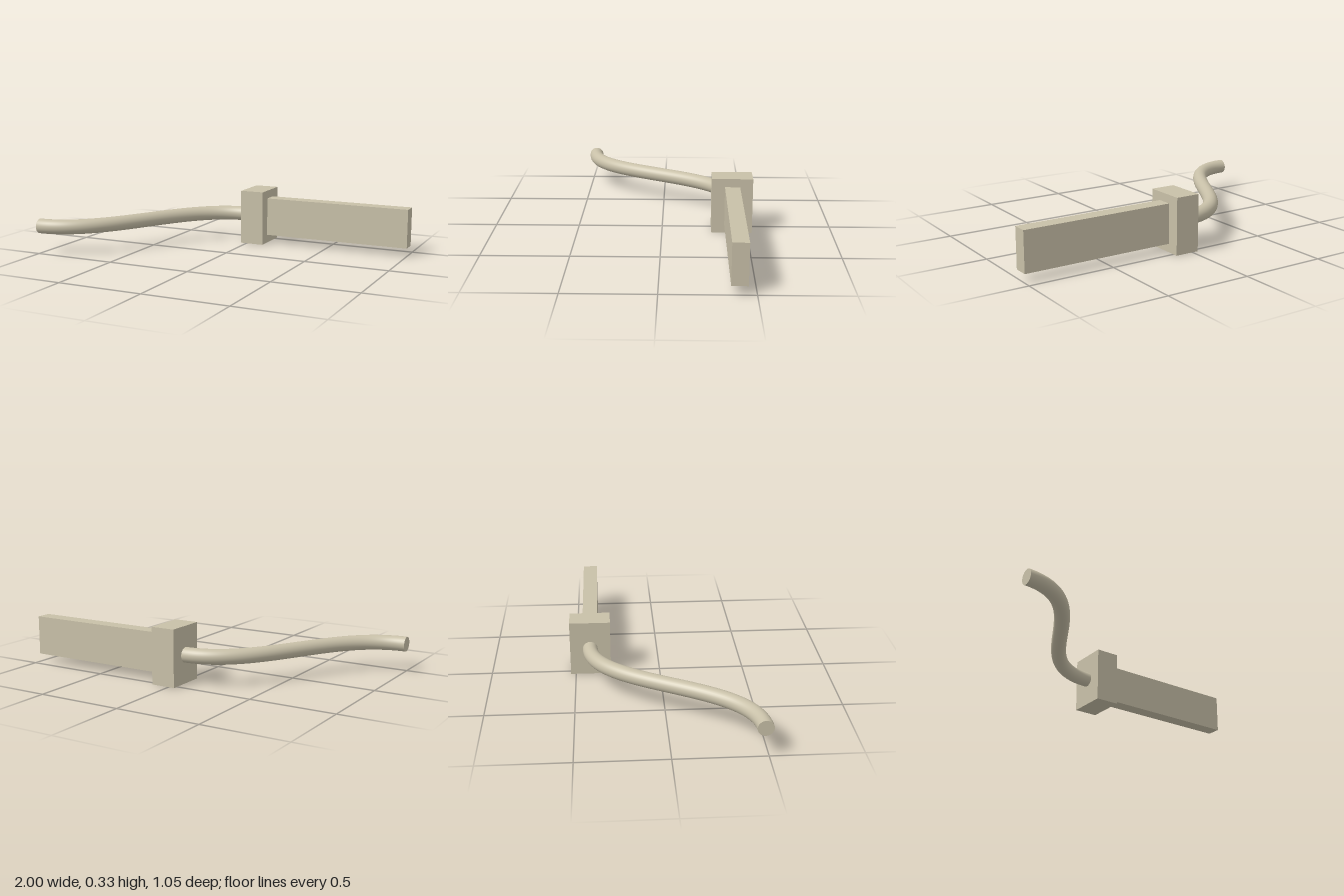
import * as THREE from 'three';

export function createModel() {
  const group = new THREE.Group();
  const material = new THREE.MeshStandardMaterial({ color: 0xc8c0a8 });
  const axisY = 0.165, axisZ = -0.411, radius = 0.044;

  const add = (name, geometry) => {
    const mesh = new THREE.Mesh(geometry, material);
    mesh.name = name;
    group.add(mesh);
    return mesh;
  };

  // Flat blade and the collar block it plugs into
  const block = (name, x0, x1, height, depth) =>
    add(name, new THREE.BoxGeometry(x1 - x0, height, depth))
      .position.set((x0 + x1) / 2, axisY, axisZ);
  block('blade', 0.108, 1, 0.232, 0.088);
  block('collar', -0.037, 0.108, 0.33, 0.238);

  // S-curved cable, level at both ends
  const start = new THREE.Vector3(-1, axisY, 0.477);
  const end = new THREE.Vector3(-0.037, axisY, axisZ);
  const midX = (start.x + end.x) / 2;
  const path = new THREE.CubicBezierCurve3(
    start,
    new THREE.Vector3(midX, axisY, start.z),
    new THREE.Vector3(midX, axisY, end.z),
    end
  );
  add('cable', new THREE.TubeGeometry(path, 64, radius, 32));

  // Flat cap on the free end of the cable
  const cap = add('cableEnd', new THREE.CircleGeometry(radius, 32));
  cap.position.copy(start);
  cap.rotation.y = -Math.PI / 2;

  return group;
}
